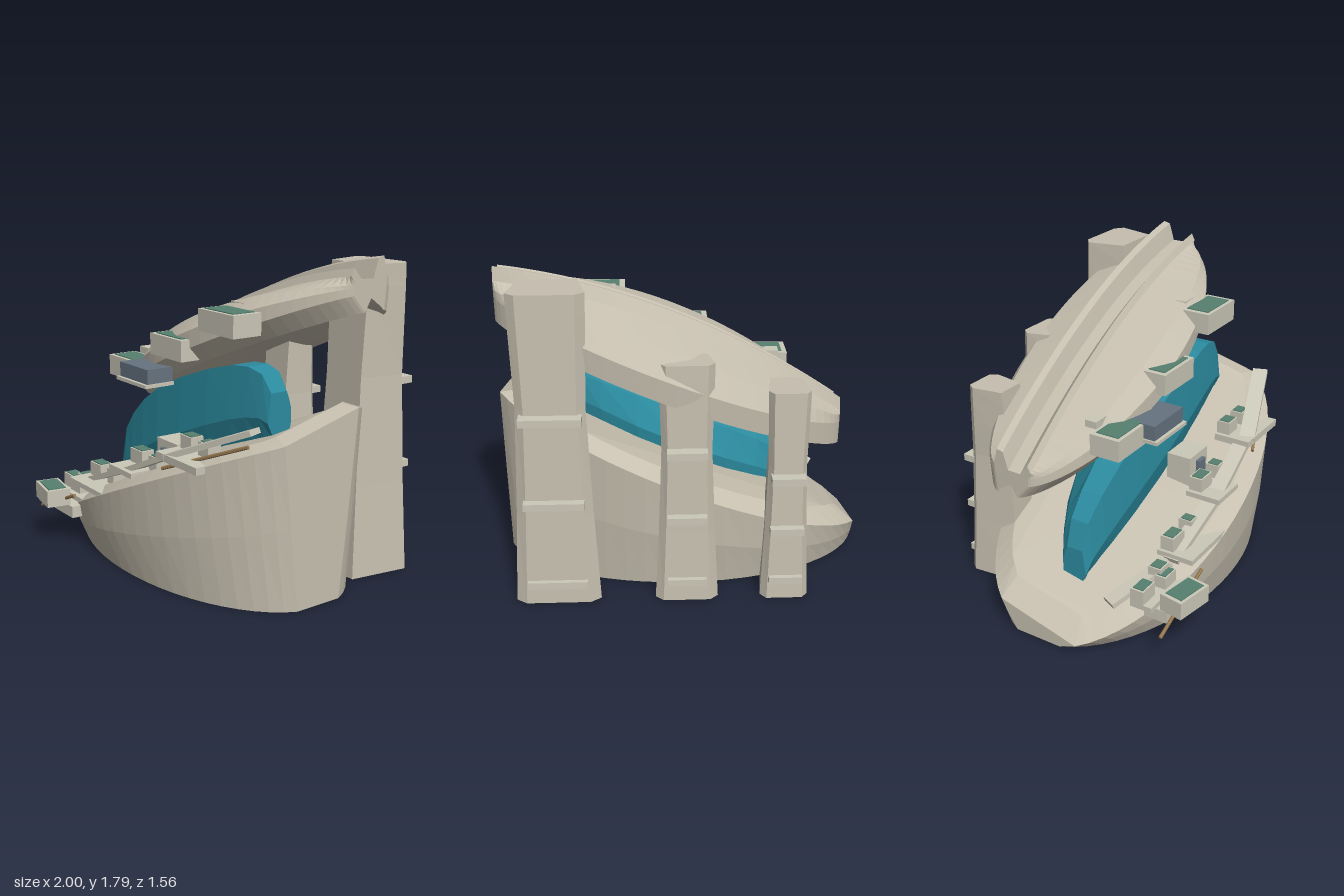
import * as THREE from 'three';

const mat = (color) => new THREE.MeshStandardMaterial({ color, flatShading: true, roughness: 0.9 });
const V = (x, y, z) => new THREE.Vector3(x, y, z);

// Skin closed rings of points, cap both ends, face outward
function loft(rings) {
  const n = rings[0].length, pos = [], idx = [];
  rings.forEach((r) => r.forEach((p) => pos.push(p.x, p.y, p.z)));
  for (let i = 0; i < rings.length - 1; i++) {
    for (let j = 0; j < n; j++) {
      const a = i * n + j, b = i * n + (j + 1) % n;
      idx.push(a, b, a + n, b, b + n, a + n);
    }
  }
  [0, rings.length - 1].forEach((k) => {
    // triangulate the end ring in the plane that shows it best
    const r = rings[k];
    const flat = r.every((p) => Math.abs(p.x - r[0].x) < 1e-6);
    const pts = r.map((p) => (flat ? new THREE.Vector2(p.z, p.y) : new THREE.Vector2(p.x, p.z)));
    const cw = THREE.ShapeUtils.isClockWise(pts);
    THREE.ShapeUtils.triangulateShape(pts, []).forEach((t) => {
      const [a, b, c] = t.map((i) => i + k * n);
      // the walk order of the cap must oppose that of the walls
      const flip = (k === 0) === !cw;
      const area = (pts[t[1]].x - pts[t[0]].x) * (pts[t[2]].y - pts[t[0]].y) - (pts[t[2]].x - pts[t[0]].x) * (pts[t[1]].y - pts[t[0]].y);
      if ((area > 0) === flip) idx.push(a, c, b); else idx.push(a, b, c);
    });
  });
  let vol = 0;
  const at = (i) => V(pos[i * 3], pos[i * 3 + 1], pos[i * 3 + 2]);
  for (let i = 0; i < idx.length; i += 3) vol += at(idx[i]).dot(at(idx[i + 1]).cross(at(idx[i + 2])));
  if (vol < 0) for (let i = 0; i < idx.length; i += 3) [idx[i + 1], idx[i + 2]] = [idx[i + 2], idx[i + 1]];
  const g = new THREE.BufferGeometry();
  g.setAttribute('position', new THREE.Float32BufferAttribute(pos, 3));
  g.setIndex(idx);
  const out = g.toNonIndexed();
  out.computeVertexNormals();
  return out;
}

export function createModel() {
  const root = new THREE.Group();
  const stone = mat(0xc6bfaf), pale = mat(0xcbc8b8), glass = mat(0x2c8ca0);
  const green = mat(0x55806f), slate = mat(0x667480), wood = mat(0x94774f);
  stone.side = glass.side = THREE.DoubleSide;
  const add = (name, geo, m, parent = root) => {
    const o = new THREE.Mesh(geo, m);
    o.name = name;
    parent.add(o);
    return o;
  };
  const box = (name, m, x0, x1, y0, y1, z0, z1, parent) => {
    const o = add(name, new THREE.BoxGeometry(x1 - x0, y1 - y0, z1 - z0), m, parent);
    o.position.set((x0 + x1) / 2, (y0 + y1) / 2, (z0 + z1) / 2);
    return o;
  };

  // Base: ellipse cut flat at both ends, flaring upward, with a sloping top and bevelled rim
  const rimY = (x, z) => 0.535 + 0.43 * x - 0.065 * THREE.MathUtils.clamp(z * 4, -1, 1);
  const ring = (rx, rz, end, y) => {
    const pts = [], cut = Math.asin(end / rx);
    for (const side of [1, -1]) {
      for (let i = 0; i <= 24; i++) {
        const a = side * cut * (i / 12 - 1), x = rx * Math.sin(a), z = side * rz * Math.cos(a);
        pts.push(V(x, y(x, z), z));
      }
    }
    return pts;
  };
  add('base', loft([
    ring(1.03, 0.59, 1, () => 0),
    ring(1.05, 0.64, 1, (x, z) => rimY(x, z) * 0.5),
    ring(1.075, 0.66, 1, rimY),
    ring(0.96, 0.57, 0.89, (x, z) => rimY(x, z) + 0.06),
  ]), stone);

  // Canopy: cross-sections along x with two fins and a hollow underside
  const canopy = [];
  for (let i = 0; i <= 32; i++) {
    const s = -Math.cos((Math.PI * i) / 32), x = 0.055 + 0.915 * s, k = -0.04 * s, d = 1 - s * s;
    const T = 1.525 + 0.395 * s - 0.13 * s * s, B = 1.125 + 0.385 * s;
    const f = -0.17 + 0.4 * d ** 0.7 + k, b = -0.39 - 0.33 * d ** 0.68 + k;
    canopy.push([
      [f - 0.08, B], [f, B + 0.09], [f, B + 0.13 + 0.06 * d],
      [f - 0.1 * d, B + 0.145 + 0.14 * d], [-0.15 + k, T - 0.09],
      [-0.17 + k, T - 0.05], [-0.22 + k, T - 0.11], [-0.3 + k, T - 0.11],
      [-0.33 + k, T - 0.01], [-0.37 + k, T], [-0.385 + k - 0.03 * d, T - 0.07],
      [b + 0.1 * d, B + 0.17 + 0.09 * d], [b, B + 0.13], [b + 0.01, B],
      [b + 0.03 + 0.07 * d, B + 0.02], [-0.29 + k, B + 0.07 + 0.08 * d],
    ].map(([z, y]) => V(x, y, z)));
  }
  add('canopy', loft(canopy), stone);

  // Glass hall under the canopy
  const top = [[-0.74, 0.45], [-0.69, 0.6], [-0.58, 0.72], [-0.43, 0.84], [-0.25, 0.95], [0, 1.06],
    [0.25, 1.15], [0.45, 1.205], [0.57, 1.215], [0.67, 1.19], [0.735, 1.1]];
  add('glassHall', loft(top.map(([x, t]) => {
    const q = (x / 0.74) ** 2, low = 0.52 + 0.43 * x, h = t - low, f = 0.2 - 0.06 * q, b = -0.29 + 0.28 * q;
    return [[f - 0.05, low], [f, low + 0.4 * h], [f - 0.02, t], [0.02 * q, t],
      [b + 0.08 * (1 - q), t - 0.35 * h], [b, low + 0.35 * h], [b + 0.02, low]].map(([z, y]) => V(x, y, z));
  })), glass);

  // Rear pillars with rungs
  [[0.69, 0.23, 1.73, -0.37, 0.48, 0.16], [-0.005, 0.17, 1.35, -0.46, 0.38, 0.105], [-0.535, 0.13, 1.19, -0.41, 0.3, 0.09]]
    .forEach(([cx, w, h, zf, step, rw]) => {
      const g = new THREE.Group();
      g.name = 'rearPillar';
      root.add(g);
      add('pillarShaft', loft([[0, 1, 0], [0.3, 0.88, 0.02], [0.65, 0.78, 0.04], [0.93, 0.84, 0.055], [1, 0.85, 0.06]]
        .map(([t, k, lean]) => [[-0.75, zf - lean * 1.2], [0.75, zf - lean * 1.2], [1, -0.72 + lean],
          [0.75, -0.76 + lean], [-0.75, -0.76 + lean], [-1, -0.72 + lean]]
          .map(([x, z]) => V(cx + x * w * k, h * t, z)))), stone, g);
      for (let i = 0; i < 3; i++) {
        const y = 0.12 + step * i;
        box('rung', pale, cx - rw, cx + rw, y - 0.02, y + 0.02, -0.78, -0.69, g);
      }
    });

  // Boxes with a green roof panel
  const pad = (name, x0, x1, y0, y1, z0, z1, turn = 0) => {
    const g = box(name, pale, x0, x1, y0, y1, z0, z1);
    const p = add('roofPanel', new THREE.BoxGeometry((x1 - x0) * 0.8, 0.01, (z1 - z0) * 0.76), green, g);
    p.position.y = (y1 - y0) / 2;
    g.rotation.y = turn;
  };
  pad('canopyPod', -0.62, -0.33, 0.98, 1.1, 0.1, 0.28);
  pad('canopyPod', -0.16, 0.15, 1.18, 1.3, 0.1, 0.28);
  pad('canopyPod', 0.31, 0.62, 1.38, 1.5, 0.1, 0.28);
  box('slatePod', slate, -0.38, -0.085, 1.02, 1.105, 0.18, 0.35);
  box('podFloor', pale, -0.39, -0.075, 1.0, 1.02, 0.17, 0.37);
  [[-0.5, 1.14], [0.42, 1.53]].forEach(([x, y]) => {
    box('podBracket', pale, x - 0.06, x + 0.06, y - 0.04, y, 0.03, 0.1);
  });
  pad('frontCabin', -0.74, -0.51, 0.25, 0.35, 0.62, 0.76, -0.17);
  pad('lowerCabin', -0.62, -0.51, 0.3, 0.37, 0.5, 0.57);
  [[-0.72, 0.06, 0.36, 0.49], [-0.56, 0.045, 0.4, 0.49], [-0.4, 0.06, 0.51, 0.48], [-0.23, 0.035, 0.52, 0.48],
    [-0.015, 0.06, 0.68, 0.435], [0.155, 0.04, 0.68, 0.435], [0.395, 0.05, 0.845, 0.38], [0.555, 0.045, 0.845, 0.38]]
    .forEach(([x, r, y, z]) => pad('terraceHut', x - r, x + r, y - 0.09, y, z - 0.04, z + 0.04));
  box('terraceHouse', pale, 0.01, 0.21, 0.56, 0.74, 0.2, 0.35);
  box('terraceDoor', slate, 0.08, 0.15, 0.62, 0.7, 0.33, 0.375);

  // Terrace decks
  [[-0.78, -0.43, 0.25, 0.28, 0.45, 0.58], [-0.72, -0.48, 0.17, 0.24, 0.5, 0.64], [-0.48, -0.08, 0.4, 0.43, 0.43, 0.65],
    [-0.1, 0.13, 0.57, 0.6, 0.39, 0.6], [0.32, 0.69, 0.73, 0.77, 0.34, 0.56]]
    .forEach((d) => box('terraceDeck', pale, ...d));
  box('deckPost', pale, 0.61, 0.64, 0.65, 0.73, 0.48, 0.52);

  // Sloping ramps and handrails between two points
  const span = (name, m, a, b, geo) => {
    const o = add(name, geo(a.distanceTo(b)), m);
    o.position.copy(a).add(b).multiplyScalar(0.5);
    o.lookAt(b);
  };
  const ramp = (a, b) => span('ramp', pale, a, b, (l) => new THREE.BoxGeometry(0.09, 0.03, l));
  const rail = (a, b) => span('handrail', wood, a, b, (l) => new THREE.CylinderGeometry(0.01, 0.01, l, 6).rotateX(Math.PI / 2));
  ramp(V(-0.82, 0.25, 0.34), V(-0.48, 0.38, 0.5));
  ramp(V(-0.48, 0.39, 0.52), V(0, 0.58, 0.53));
  ramp(V(0, 0.58, 0.53), V(0.38, 0.75, 0.5));
  ramp(V(0.38, 0.75, 0.52), V(0.89, 0.97, 0.345));
  rail(V(-0.83, 0.16, 0.665), V(-0.4, 0.34, 0.665));
  rail(V(0.38, 0.69, 0.56), V(0.87, 0.89, 0.37));
  return root;
}
